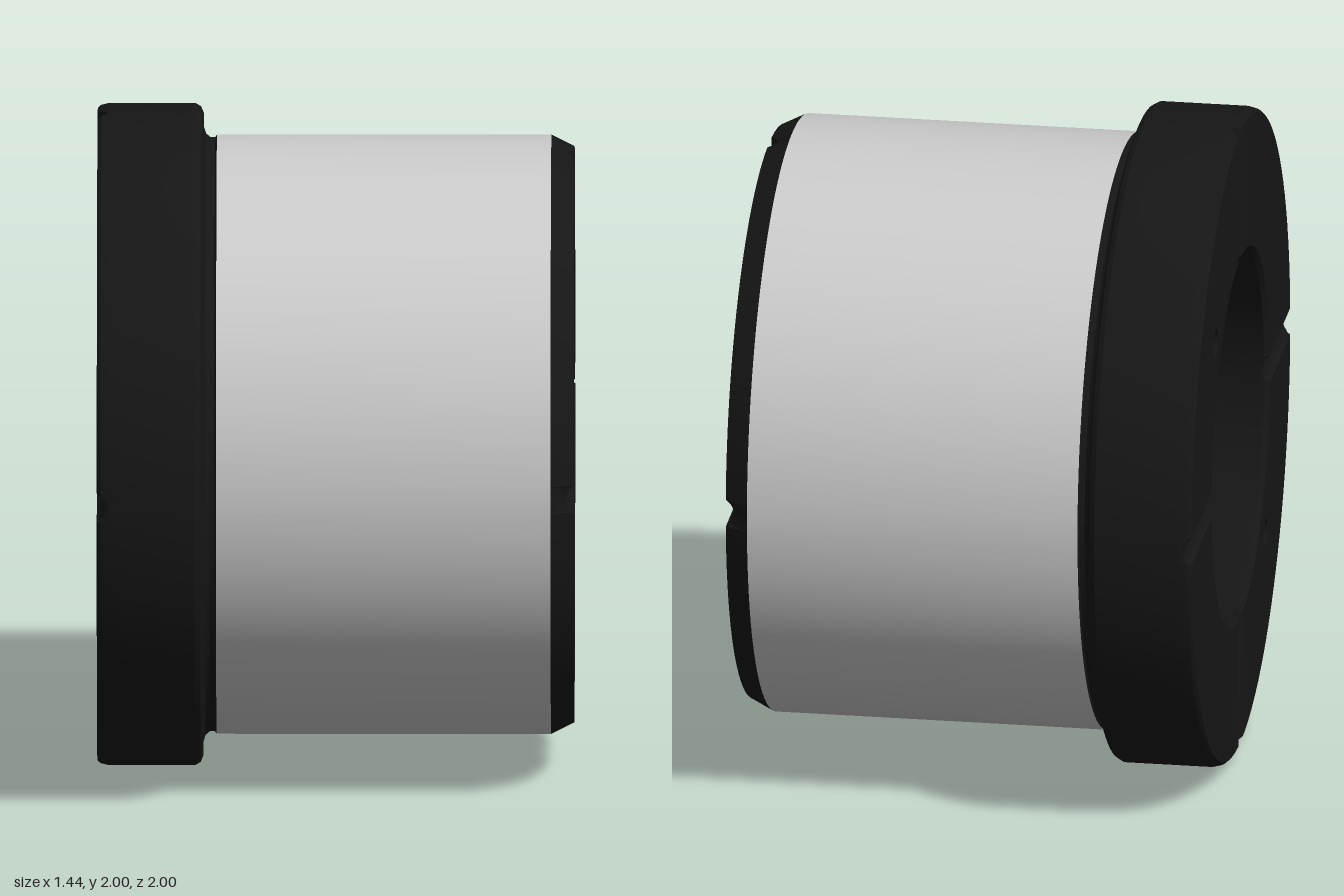
import * as THREE from 'three';
import { toCreasedNormals } from 'three/addons/utils/BufferGeometryUtils.js';

const END = 0.72;                       // half length along x
const GR = 0.05, GD = 0.025;            // groove cutter radius and groove depth
const GH = Math.sqrt(GR * GR - GD * GD); // groove half width
const M = 8, N = 24;                    // columns per groove, per quadrant arc

// Angle and groove depth of column j on a ring of radius r (columns keep the grooves parallel)
function column(j, r) {
  const q = Math.floor(j / (M + N)), k = j % (M + N);
  const base = q * Math.PI / 2, edge = Math.asin(GH / r);
  if (k < M) {
    const u = -GH + 2 * GH * k / M;
    return { a: base + Math.asin(u / r), d: Math.max(0, Math.sqrt(GR * GR - u * u) - GD) };
  }
  return { a: base + THREE.MathUtils.lerp(edge, Math.PI / 2 - edge, (k - M) / N), d: 0 };
}

// Revolve an (x, radius) profile about x; vertices at the ends sink into the four radial grooves.
// openSegment leaves out the flat quadrants of that profile segment.
function revolve(profile, openSegment = -1) {
  const cols = 4 * (M + N), pos = [], index = [];
  for (const [x, r] of profile) {
    for (let j = 0; j <= cols; j++) {
      const { a, d } = column(j % cols, r);
      pos.push(Math.sign(x) * Math.min(Math.abs(x), END - d), r * Math.cos(a), r * Math.sin(a));
    }
  }
  for (let i = 0; i < profile.length - 1; i++) {
    for (let j = 0; j < cols; j++) {
      if (i === openSegment && j % (M + N) >= M) continue;
      const a = i * (cols + 1) + j, b = a + cols + 1;
      index.push(a, b, a + 1, b, b + 1, a + 1);
    }
  }
  const g = new THREE.BufferGeometry();
  g.setAttribute('position', new THREE.Float32BufferAttribute(pos, 3));
  g.setIndex(index);
  return toCreasedNormals(g, 0.4);
}

export function createModel() {
  const model = new THREE.Group();
  model.name = 'flangedBushing';
  const axis = new THREE.Group();
  axis.name = 'bushing';
  axis.position.y = 1;
  model.add(axis);

  const dark = new THREE.MeshStandardMaterial({ color: 0x161616 });
  const darkInside = new THREE.MeshStandardMaterial({ color: 0x161616, side: THREE.DoubleSide });
  const grey = new THREE.MeshStandardMaterial({ color: 0xcccccc });
  const add = (name, geometry, material) => {
    const mesh = new THREE.Mesh(geometry, material);
    mesh.name = name;
    axis.add(mesh);
    return mesh;
  };

  // Flange with rounded rim and relief neck
  const faceIn = 0.58, faceOut = 0.985;
  add('flange', revolve([
    [-0.36, 0.905], [-0.365, 0.897], [-0.38, 0.897], [-0.393, 0.908], [-0.4, 0.93],
    [-0.4, 0.97], [-0.408, 0.99], [-0.425, 1], [-0.685, 1], [-0.71, 0.994],
    [-END, faceOut], [-END, faceIn], [-0.705, 0.565],
  ], 10), dark);

  // Flat quadrants of the flange face, two of them drilled
  const holeR = 0.04, holeAt = 0.495, holeDepth = 0.12;
  for (let q = 0; q < 4; q++) {
    const first = q * (M + N) + M, pts = [];
    const point = (j, r, a) => pts.push(new THREE.Vector2(r * Math.sin(a), r * Math.cos(a)));
    const arc = (r, k) => {
      const e = Math.asin(GH / r);
      point(first + k, r, q * Math.PI / 2 + THREE.MathUtils.lerp(e, Math.PI / 2 - e, k / N));
    };
    for (let k = 0; k <= N; k++) arc(faceOut, k);
    for (let k = N; k >= 0; k--) arc(faceIn, k);
    const shape = new THREE.Shape(pts);
    if (q % 2 === 1) {
      const s = q === 1 ? 1 : -1;
      const hole = new THREE.Path();
      hole.absarc(s * holeAt, -s * holeAt, holeR, 0, Math.PI * 2, true);
      shape.holes.push(hole);
      const wall = add('pinHoleWall', new THREE.CylinderGeometry(holeR, holeR, holeDepth, 24, 1, true), darkInside);
      wall.rotation.z = Math.PI / 2;
      wall.position.set(-END + holeDepth / 2, -s * holeAt, s * holeAt);
      const floor = add('pinHoleFloor', new THREE.CircleGeometry(holeR, 24), darkInside);
      floor.rotation.y = -Math.PI / 2;
      floor.position.set(-END + holeDepth, -s * holeAt, s * holeAt);
    }
    const face = add('flangeFace', new THREE.ShapeGeometry(shape, 12), dark);
    face.rotation.y = -Math.PI / 2;
    face.position.x = -END;
  }

  // Bore with an inner lip near the plain end
  add('bore', revolve([[-0.705, 0.565], [0.5, 0.565], [0.5, 0.465], [0.63, 0.465]]), dark);

  // Plain end: countersink, grooved face and outer chamfer
  add('endFace', revolve([[0.63, 0.465], [END, 0.555], [END, 0.87], [0.65, 0.905]]), dark);

  // Ground outer sleeve
  add('sleeve', revolve([[0.65, 0.905], [-0.36, 0.905]]), grey);

  return model;
}
